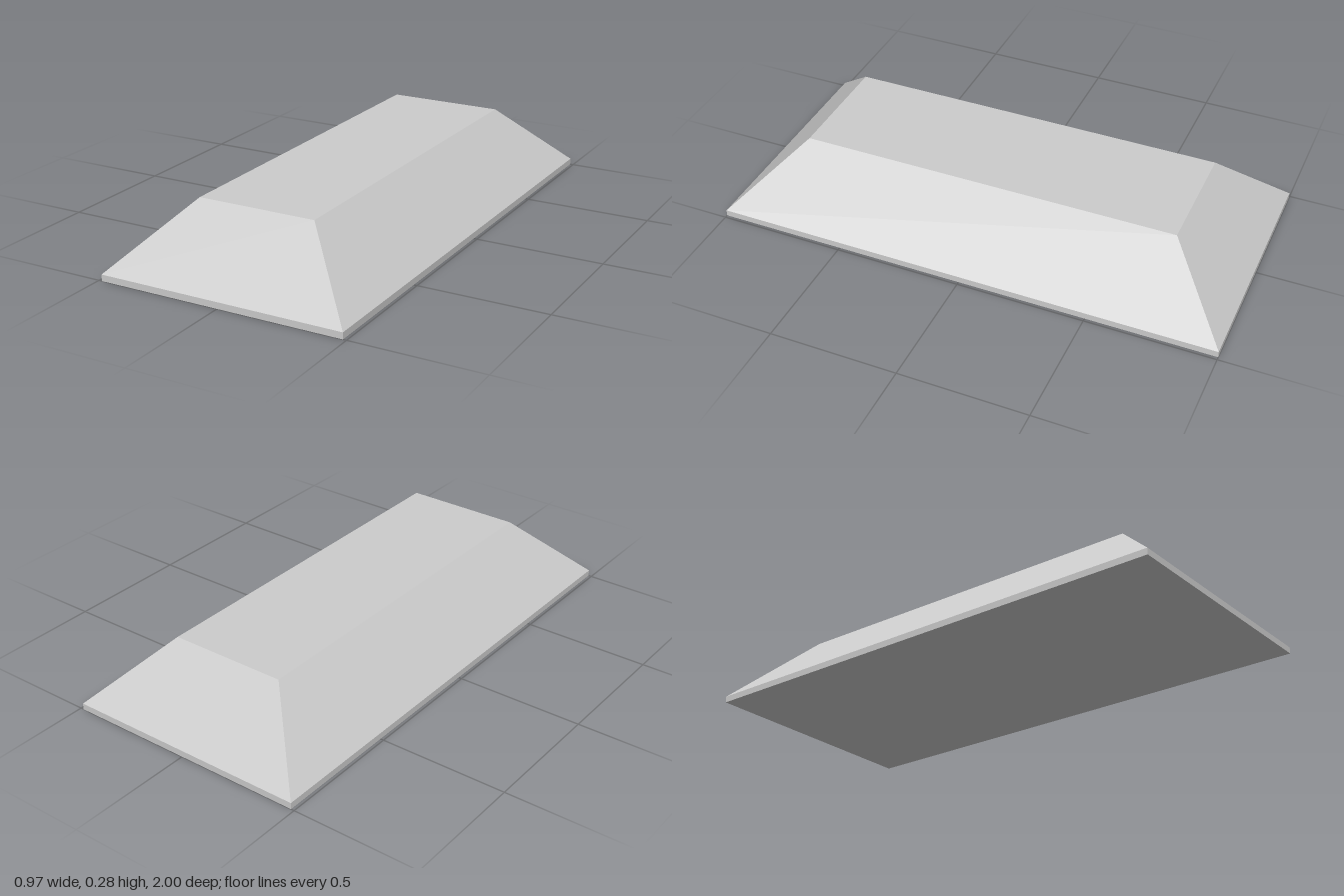
import * as THREE from 'three';

const HALF_X = 0.487, HALF_Z = 1;   // footprint
const HEIGHT = 0.278, RIM = 0.025;  // total height, height of the upright rim
const INSET = HEIGHT - RIM;         // all four sides slope at 45 degrees

export function createModel() {
  const group = new THREE.Group();
  group.name = 'hippedBlock';

  // Box with three rows of corners: bottom, rim and inset top
  const box = new THREE.BoxGeometry(2 * HALF_X, 2, 2 * HALF_Z, 1, 2, 1);
  const p = box.attributes.position;
  for (let i = 0; i < p.count; i++) {
    const row = Math.round(p.getY(i)) + 1;
    const inset = row === 2 ? INSET : 0;
    p.setXYZ(
      i,
      Math.sign(p.getX(i)) * (HALF_X - inset),
      [0, RIM, HEIGHT][row],
      Math.sign(p.getZ(i)) * (HALF_Z - inset)
    );
  }

  // Separate faces for crisp edges
  const geometry = box.toNonIndexed();
  geometry.computeVertexNormals();

  const body = new THREE.Mesh(
    geometry,
    new THREE.MeshStandardMaterial({ color: 0xcccccc, flatShading: true })
  );
  body.name = 'hippedBody';
  group.add(body);
  return group;
}
